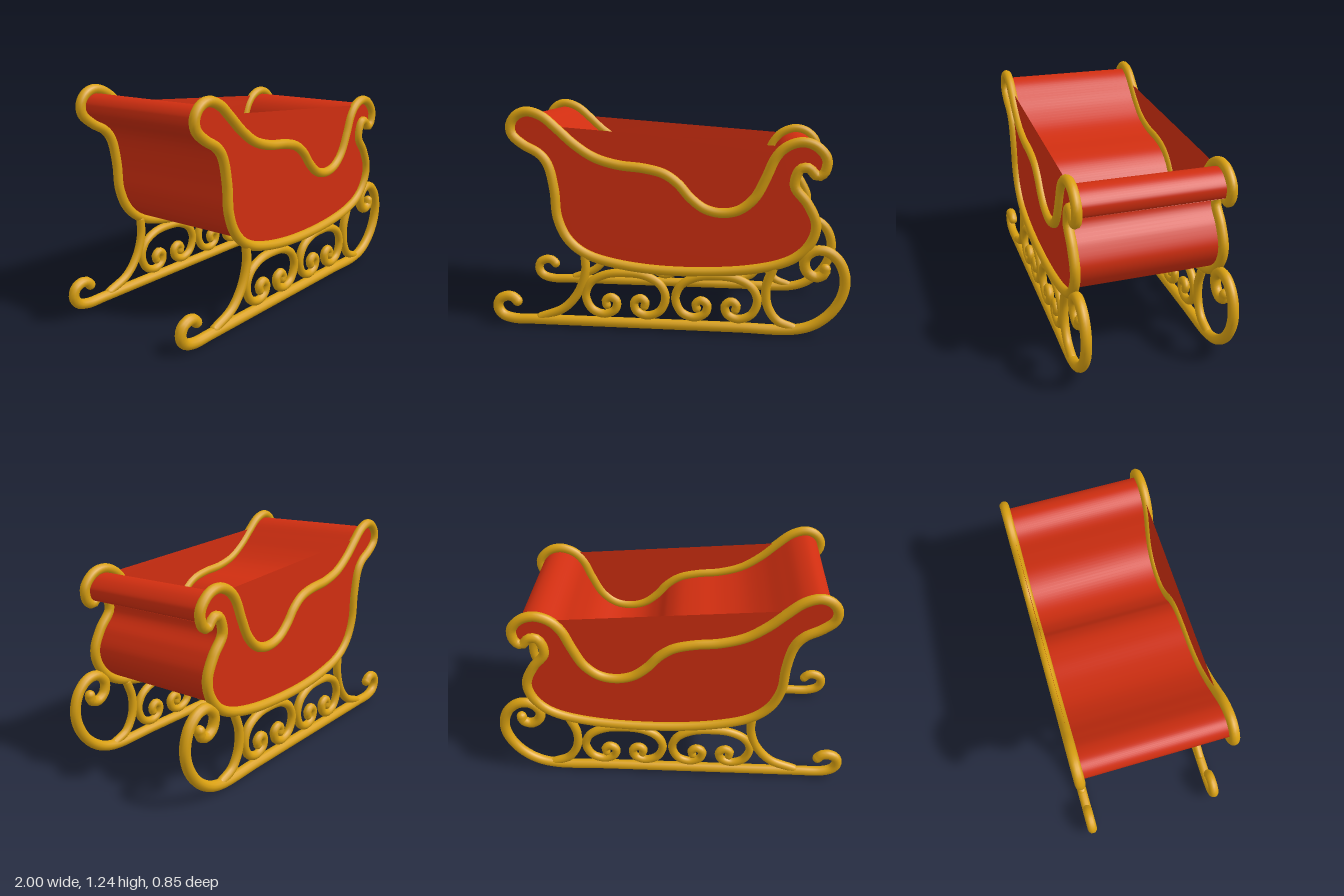
import * as THREE from 'three';

const gold = new THREE.MeshStandardMaterial({ color: 0xd9a011 });
gold.name = 'gold';
const red = new THREE.MeshStandardMaterial({ color: 0xd02e10, side: THREE.DoubleSide });
red.name = 'red';

const path = (pts, closed = false) =>
  new THREE.CatmullRomCurve3(pts.map(([x, y]) => new THREE.Vector3(x, y, 0)), closed, closed ? 'catmullrom' : 'centripetal');

// Upper edge of the body: backrest, armrest dip and front scroll
const upperEdge = [
  [-0.75, 1.213], [-0.67, 1.185], [-0.59, 1.118], [-0.5, 1.038], [-0.39, 0.968], [-0.26, 0.93],
  [-0.125, 0.915], [-0.015, 0.888], [0.065, 0.834], [0.13, 0.76], [0.21, 0.7], [0.305, 0.679],
  [0.4, 0.7], [0.48, 0.77], [0.535, 0.877], [0.58, 0.98], [0.637, 1.04], [0.715, 1.066], [0.79, 1.046],
];
// Rest of the outline: scroll curl, front, belly and back
const lowerEdge = [
  [0.845, 0.985], [0.84, 0.915], [0.8, 0.888], [0.755, 0.93], [0.705, 0.918], [0.686, 0.83], [0.755, 0.74],
  [0.802, 0.636], [0.785, 0.54], [0.715, 0.455], [0.6, 0.4], [0.41, 0.363], [0.17, 0.347],
  [-0.07, 0.352], [-0.285, 0.38], [-0.445, 0.428], [-0.55, 0.513], [-0.605, 0.636], [-0.617, 0.78],
  [-0.645, 0.914], [-0.695, 0.984], [-0.78, 1.032], [-0.842, 1.085], [-0.85, 1.145], [-0.813, 1.195],
];
const outline = path([...upperEdge, ...lowerEdge], true);
const STEPS = 6;
const COUNT = (upperEdge.length + lowerEdge.length) * STEPS;
const HALF_WIDTH = 0.39;

// Body outline, set in from the centre of the trim
function insetOutline() {
  const pts = [];
  for (let i = 0; i < COUNT; i++) {
    const p = outline.getPoint(i / COUNT), t = outline.getTangent(i / COUNT);
    pts.push(new THREE.Vector2(p.x + t.y * 0.022, p.y - t.x * 0.022));
  }
  return pts;
}

// Smooth skin running across the sleigh between the two sides
function skinGeometry(pts) {
  const pos = [], index = [];
  pts.forEach((p, i) => {
    pos.push(p.x, p.y, HALF_WIDTH, p.x, p.y, -HALF_WIDTH);
    const a = 2 * i, b = 2 * ((i + 1) % pts.length);
    index.push(a, b, a + 1, b, b + 1, a + 1);
  });
  const g = new THREE.BufferGeometry();
  g.setAttribute('position', new THREE.Float32BufferAttribute(pos, 3));
  g.setIndex(index);
  g.computeVertexNormals();
  return g;
}

// Flat side whose top edge runs straight from backrest to front scroll
function sideGeometry(pts) {
  const line = (x) => 1.128 - 0.075 * (x + 0.54);
  return new THREE.ShapeGeometry(new THREE.Shape(pts.map((p, i) => {
    const raised = i < upperEdge.length * STEPS && p.x > -0.66 && p.x < 0.62;
    return new THREE.Vector2(p.x, raised ? Math.max(p.y, line(p.x)) : p.y);
  })));
}

function add(parent, name, geometry, material) {
  const m = new THREE.Mesh(geometry, material);
  m.name = name;
  parent.add(m);
  return m;
}

// Open tube with rounded ends
function rod(parent, name, pts, radius, segments = 60) {
  const curve = path(pts), g = new THREE.Group();
  g.name = name;
  add(g, name + 'Tube', new THREE.TubeGeometry(curve, segments, radius, 12), gold);
  for (const t of [0, 1])
    add(g, name + 'End', new THREE.SphereGeometry(radius, 12, 8), gold).position.copy(curve.getPoint(t));
  parent.add(g);
}

// Runner with a small curl at the back and a large one at the front
const runner = [
  [-0.855, 0.138], [-0.875, 0.16], [-0.915, 0.167], [-0.958, 0.145], [-0.97, 0.1], [-0.945, 0.058],
  [-0.88, 0.036], [-0.75, 0.035], [-0.4, 0.035], [0, 0.035], [0.4, 0.035], [0.7, 0.035], [0.81, 0.068],
  [0.9, 0.14], [0.955, 0.235], [0.968, 0.33], [0.935, 0.425], [0.87, 0.48], [0.8, 0.483], [0.752, 0.435],
  [0.762, 0.37], [0.81, 0.338], [0.855, 0.355], [0.862, 0.385],
];
const backPost = [[-0.457, 0.42], [-0.455, 0.33], [-0.495, 0.21], [-0.58, 0.11], [-0.72, 0.05]];
const frontPost = [[0.585, 0.38], [0.55, 0.28], [0.557, 0.17], [0.61, 0.085], [0.7, 0.045]];

// Half of a scrolled bracket, from the top of the arch into its curl
const halfBracket = [
  [0, 0.325], [0.11, 0.313], [0.195, 0.265], [0.226, 0.19], [0.192, 0.11], [0.12, 0.083],
  [0.06, 0.11], [0.05, 0.16], [0.085, 0.183], [0.113, 0.16], [0.107, 0.135],
];
const bracket = [...halfBracket.slice(1).reverse().map(([x, y]) => [-x, y]), ...halfBracket];

export function createModel() {
  const sleigh = new THREE.Group();
  sleigh.name = 'sleigh';

  const pts = insetOutline();
  add(sleigh, 'bodySkin', skinGeometry(pts), red);
  const side = sideGeometry(pts);
  const trim = new THREE.TubeGeometry(outline, 260, 0.027, 12, true);

  for (const s of [1, -1]) {
    const label = s > 0 ? 'front' : 'back';
    add(sleigh, label + 'SidePanel', side, red).position.z = s * HALF_WIDTH;
    add(sleigh, label + 'SideTrim', trim, gold).position.z = s * 0.397;

    const frame = new THREE.Group();
    frame.name = label + 'SideRunnerFrame';
    frame.position.z = s * 0.393;
    rod(frame, 'runner', runner, 0.029, 160);
    rod(frame, 'rearPost', backPost, 0.025, 30);
    rod(frame, 'forwardPost', frontPost, 0.025, 30);
    for (const x of [-0.23, 0.277])
      rod(frame, 'scrollBracket', bracket.map(([px, py]) => [px + x, py]), 0.024, 110);
    sleigh.add(frame);
  }
  return sleigh;
}
